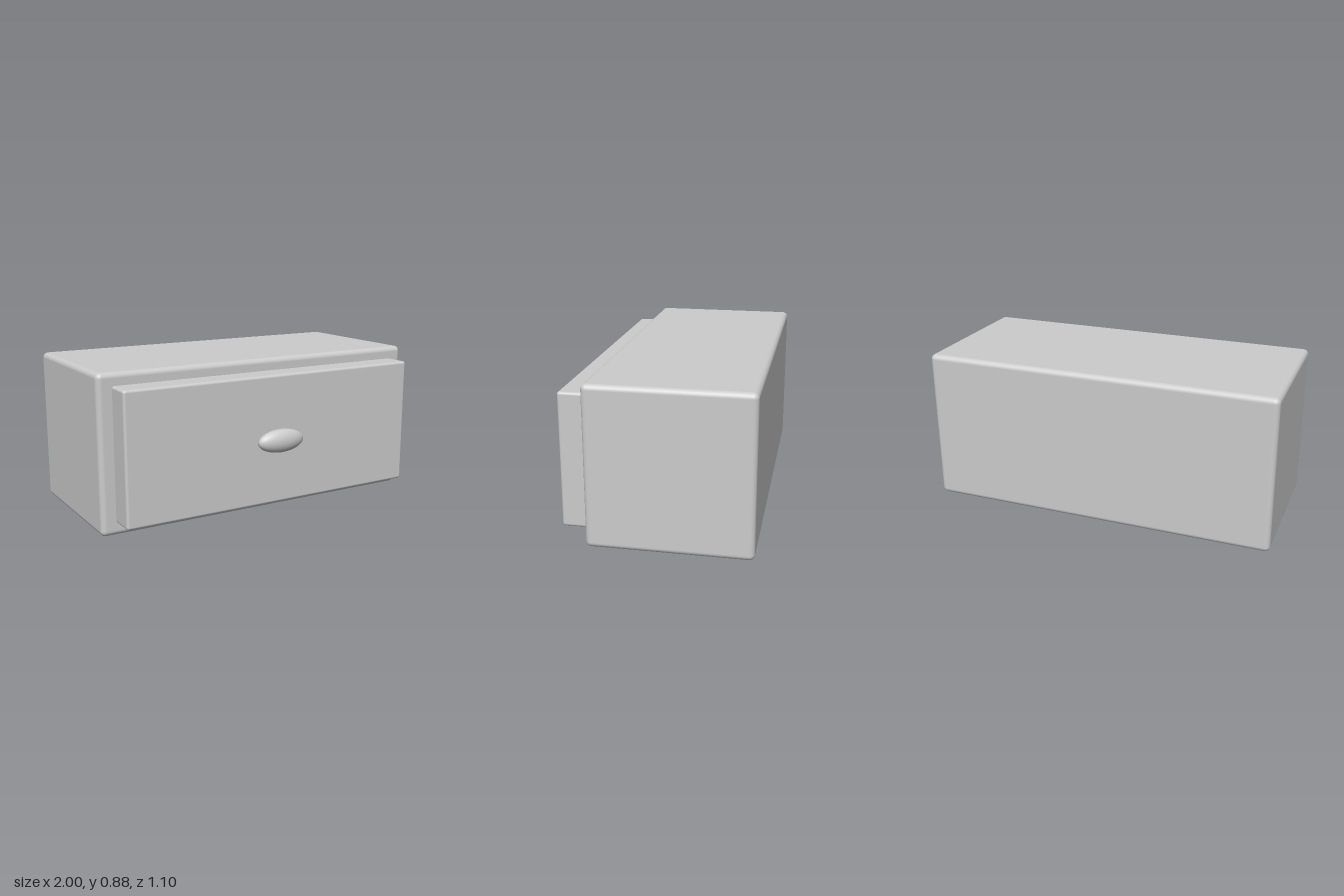
import * as THREE from 'three';
import { RoundedBoxGeometry } from 'three/addons/geometries/RoundedBoxGeometry.js';

export function createModel() {
  const group = new THREE.Group();
  const material = new THREE.MeshStandardMaterial({ color: 0xcccccc });

  function add(name, geometry, x, y, z) {
    const mesh = new THREE.Mesh(geometry, material);
    mesh.name = name;
    mesh.position.set(x, y, z);
    group.add(mesh);
    return mesh;
  }

  // Main body with softly rounded edges
  add('cabinet', new RoundedBoxGeometry(2, 0.875, 0.875, 4, 0.03), 0, 0.4375, -0.1125);

  // Drawer front, its back edge sunk slightly into the cabinet
  add('drawerFront', new RoundedBoxGeometry(1.836, 0.734, 0.17, 4, 0.015), 0, 0.438, 0.385);

  // Flattened oval knob
  const knob = add('knob', new THREE.SphereGeometry(1, 40, 24), 0, 0.439, 0.5);
  knob.scale.set(0.146, 0.066, 0.05);

  return group;
}
